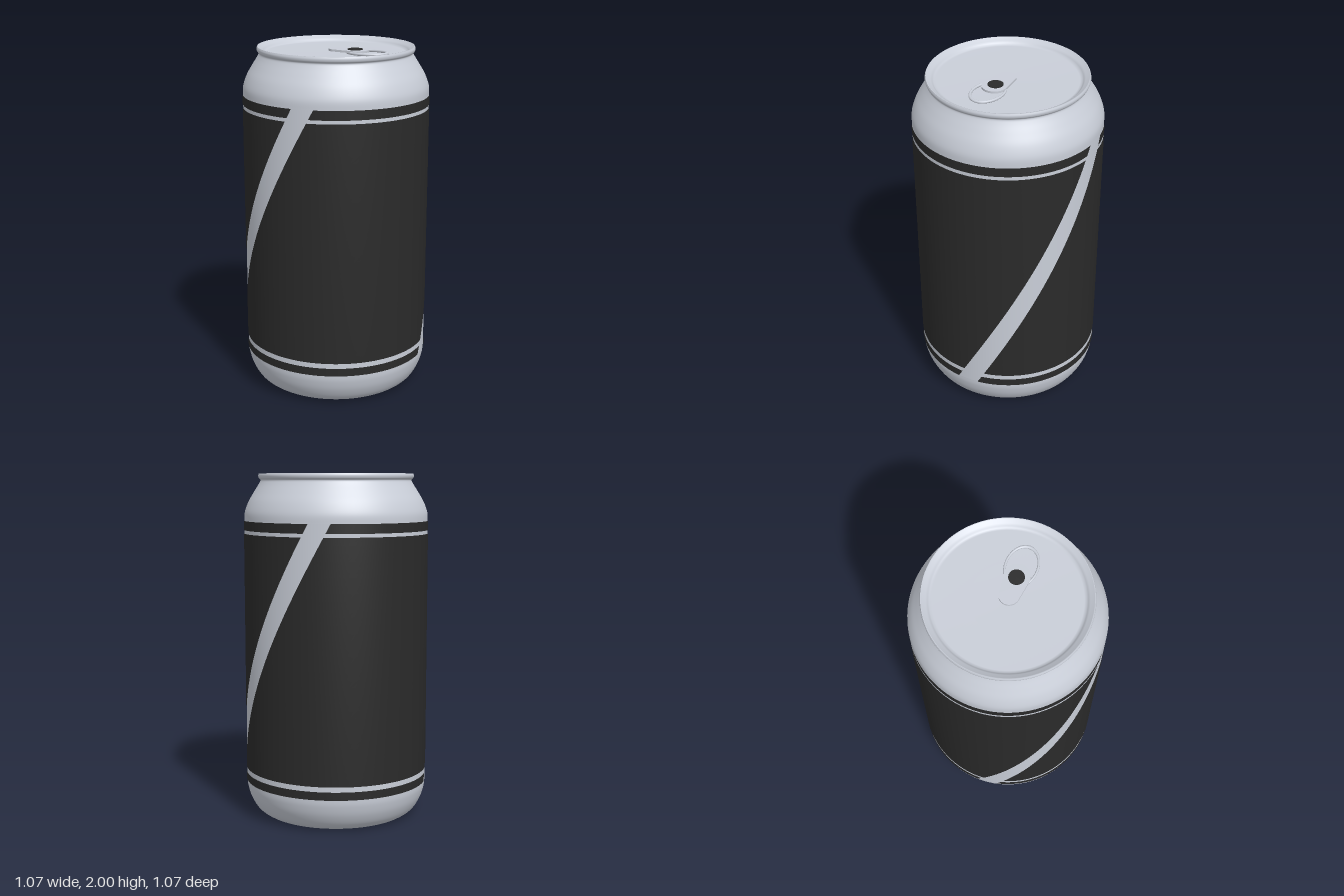
import * as THREE from 'three';

const silver = new THREE.MeshStandardMaterial({ color: 0xc9ced8 });
silver.name = 'silver';
const charcoal = new THREE.MeshStandardMaterial({ color: 0x2a2a2a });
charcoal.name = 'charcoal';

const RADIUS = 0.535;
const SEGMENTS = 96;
const LID_Y = 1.962;

const vectors = (points) => points.map(([x, y]) => new THREE.Vector2(x, y));
const smooth = (points, n) => new THREE.SplineCurve(vectors(points)).getPoints(n);

function addMesh(parent, name, geometry, material) {
  const mesh = new THREE.Mesh(geometry, material);
  mesh.name = name;
  parent.add(mesh);
  return mesh;
}

function addLathe(parent, name, points) {
  return addMesh(parent, name, new THREE.LatheGeometry(points, SEGMENTS), silver);
}

// Angle of the diagonal gap's centre line at a given height
const gapAngle = (y) => 0.095 + (y - 1.73) * 1.01;
const GAP_HALF = 0.118;

// Curved label panel filling the half turn between the two diagonal gaps
function labelPanel(y0, y1, rows, turn) {
  const geometry = new THREE.PlaneGeometry(1, 1, SEGMENTS / 2, rows);
  const position = geometry.attributes.position;
  const normal = geometry.attributes.normal;
  for (let i = 0; i < position.count; i++) {
    const u = position.getX(i) + 0.5;
    const y = y0 + (position.getY(i) + 0.5) * (y1 - y0);
    const a = turn + gapAngle(y) + GAP_HALF + u * (Math.PI - 2 * GAP_HALF);
    position.setXYZ(i, Math.sin(a) * RADIUS, y, Math.cos(a) * RADIUS);
    normal.setXYZ(i, Math.sin(a), 0, Math.cos(a));
  }
  return geometry;
}

export function createModel() {
  const can = new THREE.Group();
  can.name = 'drinkCan';
  const wall = RADIUS - 0.003;

  // Shell: domed base, straight wall and tapered shoulder
  addLathe(can, 'base', smooth([
    [0, 0.1], [0.15, 0.088], [0.27, 0.055], [0.35, 0.016], [0.4, 0], [0.43, 0.006],
    [0.475, 0.04], [0.51, 0.1], [0.528, 0.16], [wall, 0.2],
  ], 48));
  addLathe(can, 'wall', vectors([[wall, 0.2], [wall, 1.73]]));
  addLathe(can, 'shoulder', smooth([
    [wall, 1.73], [0.529, 1.78], [0.507, 1.84], [0.475, 1.895], [0.447, 1.94],
    [0.437, 1.962], [0.447, 1.974], [0.45, 1.988], [0.446, 2],
  ], 40));

  // Lid: rim and shallow dished panel
  addLathe(can, 'lid', vectors([
    [0.446, 2], [0.44, 2], [0.436, 1.993], [0.42, 1.987], [0.41, 1.977],
    [0.402, 1.968], [0.39, 1.966], [0.2, 1.963], [0, LID_Y],
  ]));

  // Label: main field with a narrow band above and below
  const bands = [
    ['upperBand', 1.677, 1.73, 1],
    ['labelField', 0.276, 1.657, 32],
    ['lowerBand', 0.2, 0.247, 1],
  ];
  for (const [name, y0, y1, rows] of bands) {
    for (const turn of [0, Math.PI]) {
      addMesh(can, name, labelPanel(y0, y1, rows, turn), charcoal);
    }
  }

  // Pull tab: tapered plate with a dark rivet
  const tab = new THREE.Group();
  tab.name = 'pullTab';
  can.add(tab);
  const outline = new THREE.Shape();
  const lean = Math.PI / 2 + 0.13;
  outline.absarc(0.13, 0, 0.07, -lean, lean, false);
  outline.absarc(0.015, 0, 0.055, lean, 2 * Math.PI - lean, false);
  const plate = new THREE.ExtrudeGeometry(outline, { depth: 0.012, bevelEnabled: false, curveSegments: 32 });
  plate.rotateX(-Math.PI / 2);
  addMesh(tab, 'tabPlate', plate, silver).position.y = LID_Y + 0.01;
  addMesh(tab, 'rivet', new THREE.CylinderGeometry(0.043, 0.043, 0.006, 32), charcoal)
    .position.set(0.12, LID_Y + 0.023, 0);

  // Oval finger ring under the plate
  const ring = new THREE.TorusGeometry(0.1, 0.008, 12, 64);
  ring.rotateX(Math.PI / 2);
  ring.scale(1.16, 1, 0.84);
  addMesh(tab, 'fingerRing', ring, silver).position.set(0.193, LID_Y + 0.009, 0);

  return can;
}
